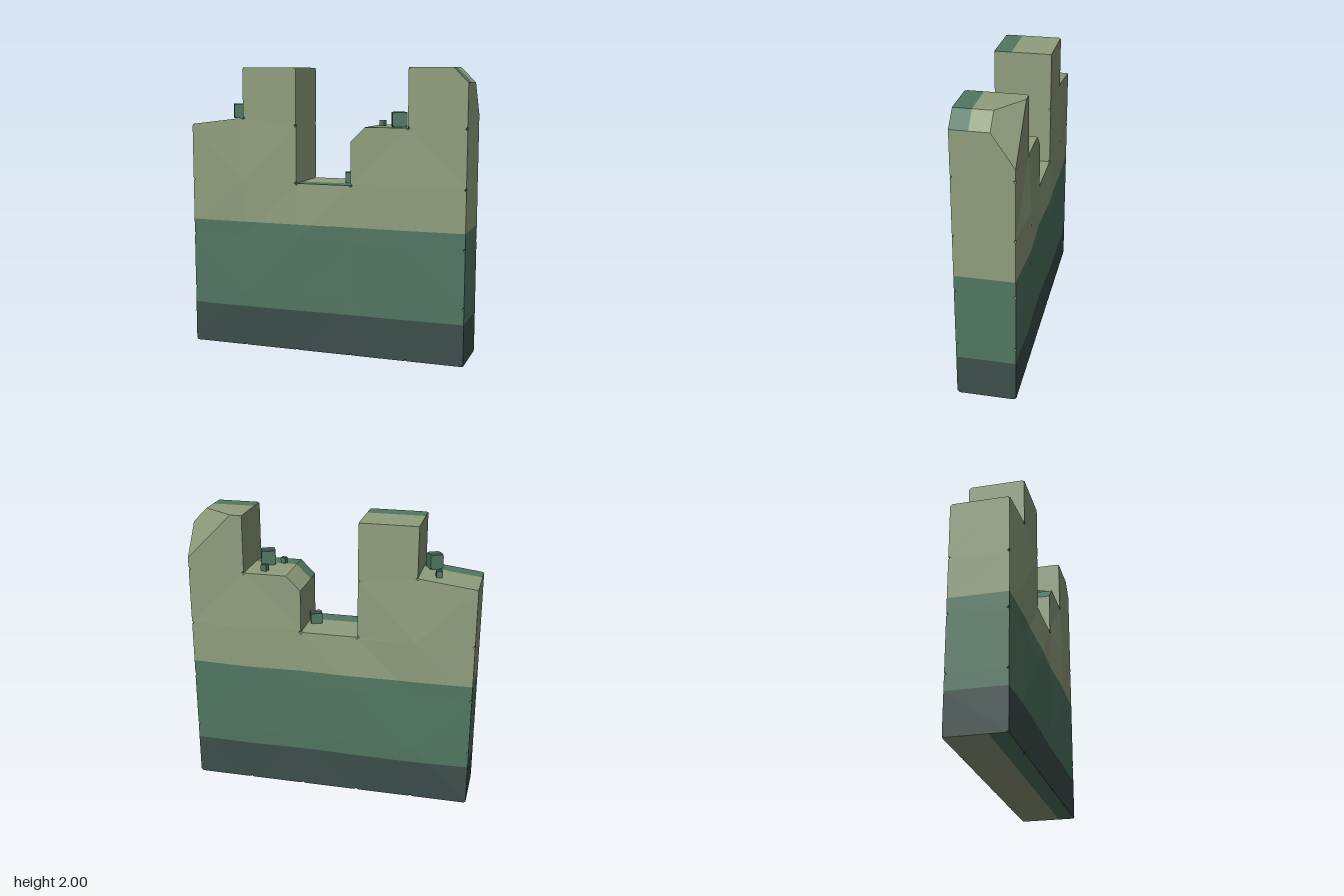
import * as THREE from 'three';
import { ConvexGeometry } from 'three/addons/geometries/ConvexGeometry.js';

const T = 0.2;   // half thickness of the wall
const E = 0.015; // size of the chipped block corners
const HEIGHTS = [4, 5, 3, 4, 5]; // blocks in each column
// outward swell of inner block corners, front and back, by row then column line
const SWELL = {
  1: [[0.012, 0.008, 0.0, 0.006], [0.02, 0.014, 0.0, 0.012]],
  2: [[0.008, 0.014, 0.002, 0.012], [0.01, 0.02, 0.003, 0.018]],
  3: [[0.014, 0, 0, 0.012], [0.016, 0, 0, 0.02]],
};

const v = (x, y, z) => new THREE.Vector3(x, y, z);

// keep the part of a convex polygon where f(point) >= 0
function clip(poly, f) {
  const out = [];
  poly.forEach((a, k) => {
    const b = poly[(k + 1) % poly.length], fa = f(a), fb = f(b);
    if (fa >= 0) out.push(a);
    if ((fa > 0 && fb < 0) || (fa < 0 && fb > 0)) out.push(a.clone().lerp(b, fa / (fa - fb)));
  });
  return out;
}

function polyNormal(poly) {
  const n = v(0, 0, 0);
  for (let k = 1; k < poly.length - 1; k++) {
    n.add(poly[k].clone().sub(poly[0]).cross(poly[k + 1].clone().sub(poly[0])));
  }
  return n.normalize();
}

function meshFromPolys(name, polys, material) {
  const pos = [];
  for (const p of polys) {
    for (let k = 1; k < p.length - 1; k++) {
      for (const q of [p[0], p[k], p[k + 1]]) pos.push(q.x, q.y, q.z);
    }
  }
  const geo = new THREE.BufferGeometry();
  geo.setAttribute('position', new THREE.Float32BufferAttribute(pos, 3));
  geo.computeVertexNormals();
  const mesh = new THREE.Mesh(geo, material);
  mesh.name = name;
  return mesh;
}

// corner of the block grid; corners on the outline get chipped
function gridPoint(i, j) {
  const inner = i > 0 && i < 5 && j > 0 && j < Math.min(HEIGHTS[i - 1], HEIGHTS[i]);
  const y = i === 1 && j === 4 ? 1.65 : j * 0.4;
  const swell = inner ? SWELL[j].map((row) => row[i - 1]) : [0, 0];
  return { x: -1 + i * 0.4, y, swell, cut: !inner };
}
const plainPoint = (x, y) => ({ x, y, swell: [0, 0], cut: false });

function wallPolys() {
  // block outlines, counter-clockwise seen from the front
  const cells = [];
  HEIGHTS.forEach((h, i) => {
    for (let j = 0; j < h; j++) {
      const c = [gridPoint(i, j), gridPoint(i + 1, j), gridPoint(i + 1, j + 1), gridPoint(i, j + 1)];
      if (i === 3 && j === 3) c.splice(3, 1, plainPoint(0.3, 1.6), plainPoint(0.2, 1.5));
      if (i === 4 && j === 4) c.splice(2, 1, plainPoint(1, 1.9), plainPoint(0.9, 2));
      cells.push({ c, turn: (i + j) % 2 });
    }
  });
  const key = (a, b) => [a.x, a.y, b.x, b.y].map((n) => n.toFixed(2)).join();
  const edges = new Set();
  for (const { c } of cells) c.forEach((p, k) => edges.add(key(p, c[(k + 1) % c.length])));

  const polys = [];
  const at = (p, s) => v(p.x, p.y, s * (T + p.swell[s > 0 ? 0 : 1]));
  const toward = (p, q, s) => {
    const a = at(p, s), b = at(q, s);
    return a.clone().lerp(b, E / a.distanceTo(b));
  };
  for (const { c, turn } of cells) {
    const n = c.length;
    // front and back faces with chipped corners
    for (const s of [1, -1]) {
      const cap = [];
      c.forEach((p, k) => {
        if (!p.cut) return cap.push(at(p, s));
        const a = toward(p, c[(k + n - 1) % n], s), b = toward(p, c[(k + 1) % n], s);
        cap.push(a, b);
        const deep = v(p.x, p.y, s * (T - E));
        polys.push(s > 0 ? [b, a, deep] : [a, b, deep]);
      });
      for (let k = 0; k < turn * 2; k++) cap.push(cap.shift());
      for (let k = 1; k < cap.length - 1; k++) {
        const t = [cap[0], cap[k], cap[k + 1]];
        polys.push(s > 0 ? t : t.reverse());
      }
    }
    // sides, tops and underside
    c.forEach((p, k) => {
      const q = c[(k + 1) % n];
      if (edges.has(key(q, p))) return;
      const end = (a, b, s) => (a.cut ? [toward(a, b, s), v(a.x, a.y, s * (T - E))] : [at(a, s)]);
      polys.push([
        ...end(p, q, 1), ...end(p, q, -1).reverse(),
        ...end(q, p, -1), ...end(q, p, 1).reverse(),
      ]);
    });
  }
  return polys;
}

export function createModel() {
  const mat = (name, color) => {
    const m = new THREE.MeshStandardMaterial({ color, flatShading: true });
    m.name = name;
    return m;
  };
  const light = mat('paleStone', 0x8f9e7d);
  const mid = mat('greenStone', 0x517661);
  const dark = mat('darkStone', 0x3c4e4b);

  const model = new THREE.Group();
  model.name = 'ruinedWall';

  // broken back corner of the tall right end
  const n = v(0.015, 0.015, -0.022).normalize();
  const d = n.dot(v(0.9, 2, -0.05));
  const polys = wallPolys().map((p) => clip(p, (q) => d - n.dot(q))).filter((p) => p.length > 2);
  polys.push([v(0.68, 2, -0.2), v(0.9, 2, -0.05), v(1, 1.9, -0.05), v(1, 1.68, -0.2)]);

  // colour bands: by height on upright faces, by depth on level ones
  const bands = { light: [], mid: [], dark: [] };
  for (const p of polys) {
    const keep = (band, ...tests) => {
      const r = tests.reduce((poly, f) => clip(poly, f), p);
      if (r.length > 2) bands[band].push(r);
    };
    if (Math.abs(polyNormal(p).y) > 0.5) {
      keep('light', (q) => 0.08 - q.z);
      keep('mid', (q) => q.z - 0.08);
    } else {
      keep('light', (q) => q.y - 0.91);
      keep('mid', (q) => 0.91 - q.y, (q) => q.y - 0.29);
      keep('dark', (q) => 0.29 - q.y);
    }
  }
  model.add(
    meshFromPolys('wallTop', bands.light, light),
    meshFromPolys('wallMiddle', bands.mid, mid),
    meshFromPolys('wallBase', bands.dark, dark),
  );

  // loose stones: [x, bottom y, z, width, height, turn]
  const stones = [
    [-0.672, 1.645, 0.085, 0.09, 0.1, 0.5],
    [-0.725, 1.635, -0.085, 0.042, 0.045, 0.25],
    [0.147, 1.2, 0.025, 0.08, 0.075, 0.35],
    [0.502, 1.6, 0.06, 0.1, 0.1, 0.35],
    [0.475, 1.6, -0.11, 0.042, 0.045, -0.2],
    [0.392, 1.605, 0.08, 0.036, 0.04, -0.2],
  ];
  for (const [x, y, z, w, h, turn] of stones) {
    const pts = [];
    for (const a of [-1, 1]) for (const b of [-1, 1]) for (const c of [-1, 1]) {
      pts.push(v(a * 0.7, b, c), v(a, b * 0.7, c), v(a, b, c * 0.7));
    }
    const geo = new ConvexGeometry(pts.map((p) => p.multiplyScalar(0.5)));
    const pos = geo.attributes.position;
    const sides = [], tops = [];
    for (let k = 0; k < pos.count; k += 3) {
      const t = [0, 1, 2].map((o) => new THREE.Vector3().fromBufferAttribute(pos, k + o));
      if (Math.abs(polyNormal(t).y) < 0.9) { sides.push(t); continue; }
      const back = clip(t, (q) => 0.2 - q.z), front = clip(t, (q) => q.z - 0.2);
      if (back.length > 2) tops.push(back);
      if (front.length > 2) sides.push(front);
    }
    const stone = new THREE.Group();
    stone.name = 'looseStone';
    stone.add(meshFromPolys('stoneSides', sides, mid), meshFromPolys('stoneTop', tops, dark));
    stone.position.set(x, y + h / 2, z);
    stone.scale.set(w, h, w);
    stone.rotation.y = turn;
    model.add(stone);
  }
  return model;
}
